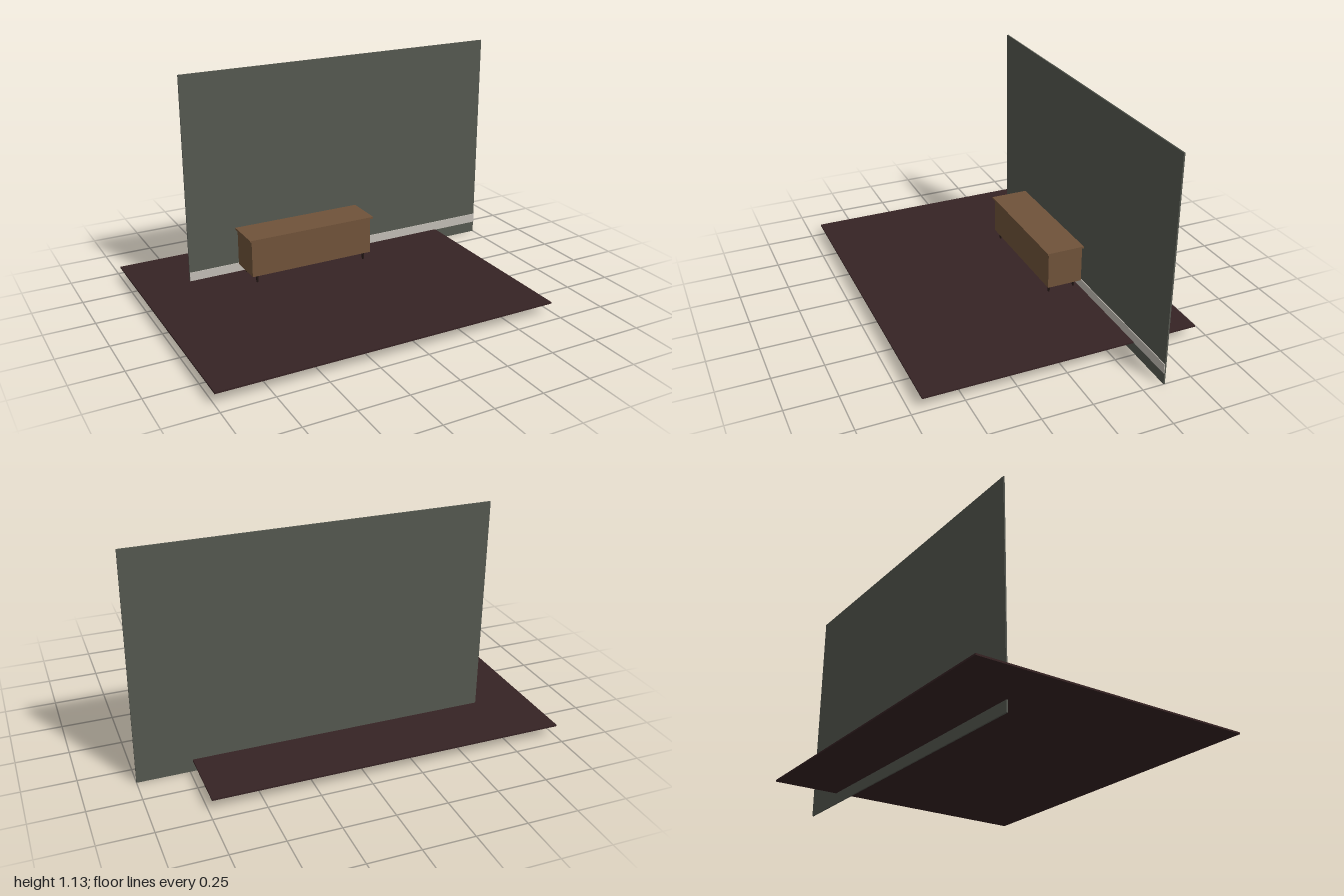
import * as THREE from 'three';

const material = (name, color) => {
  const m = new THREE.MeshStandardMaterial({ color });
  m.name = name;
  return m;
};

export function createModel() {
  const model = new THREE.Group();
  model.name = 'roomCorner';

  const wallGreen = material('wall grey green', 0x555850);
  const floorBrown = material('floor dark brown', 0x362324);
  const trimWhite = material('trim off white', 0xc2bdb5);
  const wood = material('wood brown', 0x70533a);
  const legDark = material('leg dark brown', 0x241816);

  // Box given by its low and high limits on each axis
  const box = (name, mat, [x0, x1], [y0, y1], [z0, z1], parent = model) => {
    const mesh = new THREE.Mesh(new THREE.BoxGeometry(x1 - x0, y1 - y0, z1 - z0), mat);
    mesh.position.set((x0 + x1) / 2, (y0 + y1) / 2, (z0 + z1) / 2);
    mesh.name = name;
    parent.add(mesh);
  };

  // Room
  box('floor', floorBrown, [-1, 0.735], [0.055, 0.063], [-0.694, 0.694]);
  box('wall', wallGreen, [-0.735, 1], [0, 1.133], [-0.363, -0.356]);
  box('baseboard', trimWhite, [-0.735, 1], [0.06, 0.109], [-0.356, -0.352]);

  // Sideboard
  const sideboard = new THREE.Group();
  sideboard.name = 'sideboard';
  model.add(sideboard);
  box('cabinetBody', wood, [-0.469, 0.204], [0.104, 0.296], [-0.353, -0.167], sideboard);
  box('cabinetTop', wood, [-0.48, 0.216], [0.296, 0.306], [-0.356, -0.157], sideboard);

  // Tapered round legs
  for (const x of [-0.437, 0.172]) {
    for (const z of [-0.187, -0.325]) {
      const leg = new THREE.Mesh(new THREE.CylinderGeometry(0.008, 0.005, 0.042, 16), legDark);
      leg.position.set(x, 0.083, z);
      leg.name = 'leg';
      sideboard.add(leg);
    }
  }
  return model;
}
